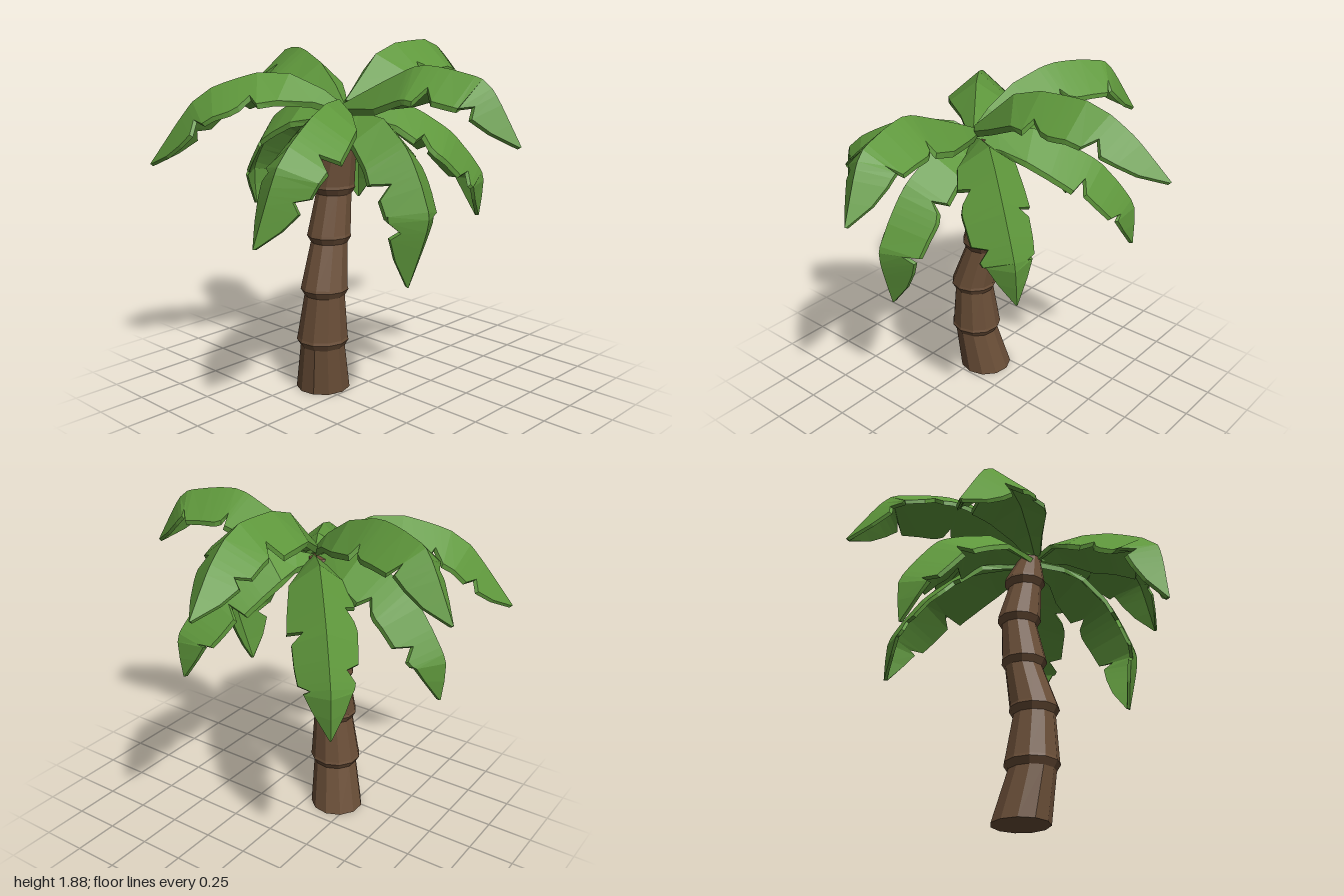
import * as THREE from 'three';

const bark = new THREE.MeshStandardMaterial({ color: 0x6b4f38, flatShading: true });
const green = new THREE.MeshStandardMaterial({ color: 0x5f983c, flatShading: true });

// Closed solid through a list of rings, each with the same number of points
function loft(rings) {
  const n = rings[0].length;
  const last = (rings.length - 1) * n;
  const index = [];
  for (let i = 0; i < rings.length - 1; i++) {
    for (let j = 0; j < n; j++) {
      const a = i * n + j, b = i * n + (j + 1) % n;
      index.push(a, a + n, b, b, a + n, b + n);
    }
  }
  for (let j = 1; j < n - 1; j++) {
    index.push(0, j, j + 1, last, last + j + 1, last + j);
  }
  const geometry = new THREE.BufferGeometry().setFromPoints(rings.flat());
  geometry.setIndex(index);
  geometry.computeVertexNormals();
  return geometry;
}

// Trunk joints: x, y, z, neck radius just under the flare, flare radius
const joints = [
  [-0.117, 0.29, 0.24, 0.122, 0.143],
  [-0.10, 0.58, 0.238, 0.11, 0.13],
  [-0.12, 0.86, 0.18, 0.1, 0.12],
  [-0.123, 1.12, 0.14, 0.096, 0.117],
  [-0.083, 1.36, 0.135, 0.09, 0.112],
];

function trunkGeometry() {
  const sides = 11;
  const ring = (x, y, z, r) => Array.from({ length: sides }, (_, i) => {
    const a = (i / sides) * Math.PI * 2;
    return new THREE.Vector3(x + r * Math.cos(a), y, z + r * Math.sin(a));
  });
  const rings = [ring(-0.157, 0, 0.202, 0.149)];
  for (const [x, y, z, neck, flare] of joints) {
    rings.push(ring(x, y - 0.025, z, neck), ring(x, y + 0.01, z, flare), ring(x, y + 0.025, z, flare * 0.97));
  }
  rings.push(ring(-0.055, 1.53, 0.145, 0.06));
  return loft(rings);
}

// Frond outline: position along the rib, width of each half; the dips are the torn notches
const outline = [
  [0, 0.04, 0.04], [0.1, 0.105, 0.105], [0.25, 0.195, 0.195], [0.38, 0.215, 0.22],
  [0.41, 0.22, 0.15], [0.46, 0.225, 0.205], [0.5, 0.23, 0.22], [0.53, 0.13, 0.22],
  [0.58, 0.205, 0.215], [0.68, 0.2, 0.205], [0.71, 0.195, 0.12], [0.76, 0.185, 0.175],
  [0.79, 0.115, 0.165], [0.83, 0.155, 0.15], [0.91, 0.1, 0.1], [1, 0.006, 0.006],
];

// Folded frond with a sharp rib and two sloping halves
function frondGeometry(points, flip) {
  const corners = points.map((p) => new THREE.Vector3(...p));
  const path = new THREE.CatmullRomCurve3(corners, false, 'catmullrom', 0.3);
  const first = points[0], end = points[points.length - 1];
  const side = new THREE.Vector3(end[2] - first[2], 0, first[0] - end[0]).normalize();
  const thickness = 0.035;
  const rings = outline.map(([t, w1, w2]) => {
    const p = path.getPointAt(t);
    const along = path.getTangentAt(t);
    const s = side.clone().addScaledVector(along, -side.dot(along)).normalize();
    const up = along.clone().cross(s);
    const at = (w, down) => p.clone().addScaledVector(s, w * 0.77).addScaledVector(up, -Math.abs(w) * 0.66 - down);
    const [r, l] = flip ? [w2, w1] : [w1, w2];
    const d = thickness * (1 - 0.5 * t);
    return [at(0, 0), at(r, 0), at(r, d), at(0, d * 1.2), at(-l, d), at(-l, 0)];
  });
  return loft(rings);
}

// Rib of each frond from the crown to the tip
const fronds = {
  backFrond: [[-0.02, 1.6, 0.15], [-0.03, 1.75, -0.02], [-0.04, 1.86, -0.16], [-0.055, 1.88, -0.55], [-0.085, 1.76, -0.77], [-0.12, 1.575, -0.96]],
  leftFrond: [[-0.03, 1.58, 0.16], [0.16, 1.67, 0.155], [0.48, 1.8, 0.15], [0.82, 1.74, 0.09], [0.99, 1.45, 0.04]],
  rightFrond: [[-0.02, 1.58, 0.16], [-0.2, 1.75, 0.11], [-0.49, 1.84, 0.02], [-0.8, 1.8, -0.12], [-1, 1.5, -0.2]],
  frontRightFrond: [[-0.02, 1.57, 0.16], [-0.14, 1.68, 0.25], [-0.32, 1.75, 0.39], [-0.64, 1.62, 0.61], [-0.89, 1.24, 0.77]],
  frontFrond: [[-0.02, 1.56, 0.15], [0.04, 1.62, 0.27], [0.145, 1.59, 0.51], [0.235, 1.39, 0.84], [0.18, 1, 0.96]],
  lowLeftFrond: [[-0.03, 1.53, 0.16], [0.22, 1.56, 0.18], [0.46, 1.39, 0.21], [0.62, 1.09, 0.24], [0.52, 0.73, 0.27]],
  lowRightFrond: [[-0.01, 1.53, 0.16], [-0.3, 1.6, 0.14], [-0.62, 1.46, 0.12], [-0.83, 1.16, 0.11], [-0.82, 0.93, 0.11]],
  lowBackRightFrond: [[-0.01, 1.53, 0.15], [-0.2, 1.59, -0.08], [-0.43, 1.4, -0.36], [-0.56, 1.15, -0.51], [-0.57, 0.91, -0.52]],
  lowBackLeftFrond: [[-0.02, 1.53, 0.15], [0.13, 1.6, -0.07], [0.31, 1.42, -0.31], [0.41, 1.18, -0.47], [0.39, 0.95, -0.47]],
};

export function createModel() {
  const palm = new THREE.Group();
  palm.name = 'palmTree';

  const trunk = new THREE.Mesh(trunkGeometry(), bark);
  trunk.name = 'trunk';
  palm.add(trunk);

  const crown = new THREE.Group();
  crown.name = 'crown';
  Object.entries(fronds).forEach(([name, points], i) => {
    const frond = new THREE.Mesh(frondGeometry(points, i % 2 === 1), green);
    frond.name = name;
    crown.add(frond);
  });
  palm.add(crown);
  return palm;
}
